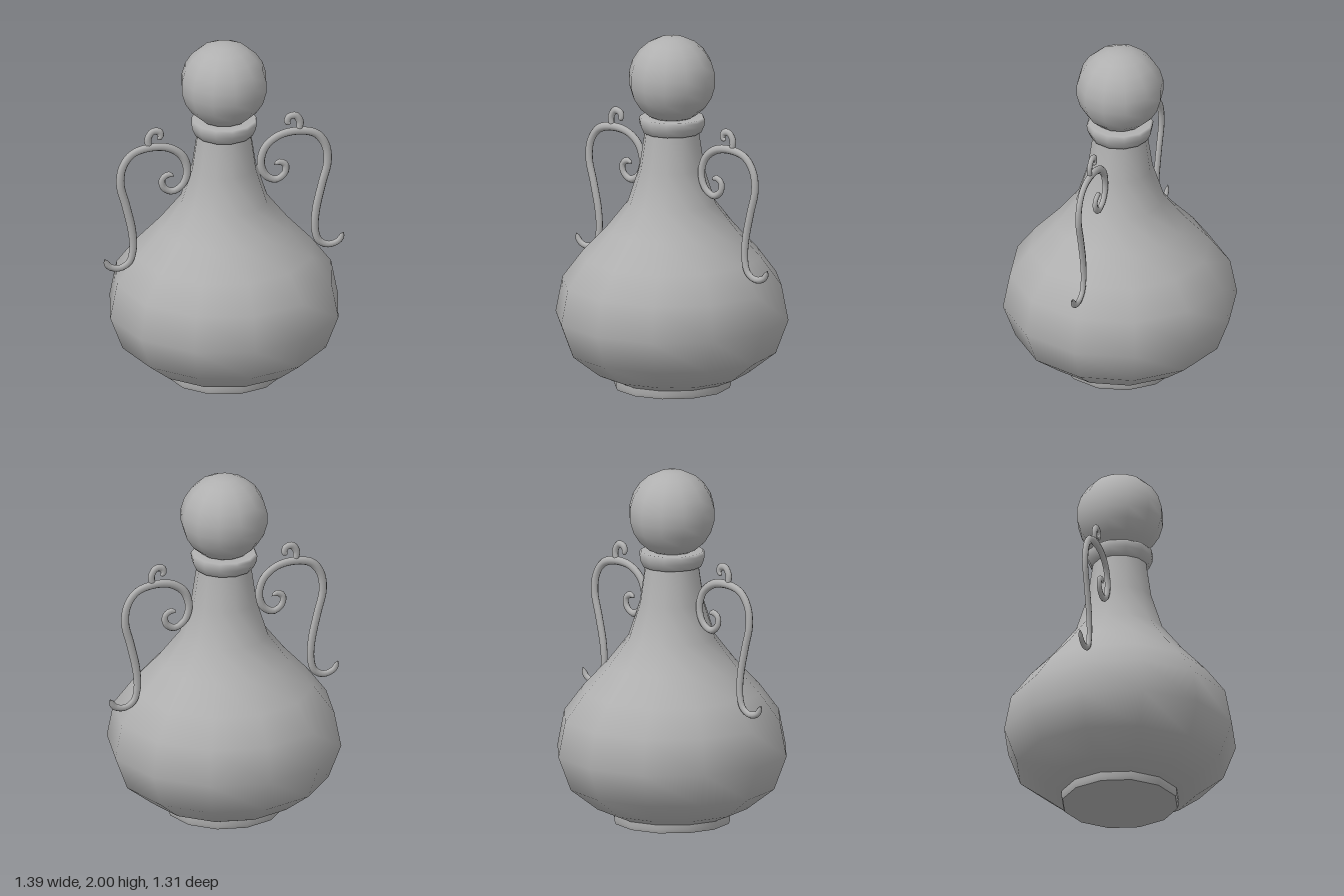
import * as THREE from 'three';

const grey = new THREE.MeshStandardMaterial({ color: 0xb0b0b0 });
grey.name = 'plain grey';

const SIDES = 12;

// Turned part from [radius, height] pairs, listed bottom to top
function turned(name, profile) {
  const points = profile.map(([r, y]) => new THREE.Vector2(r, y));
  const mesh = new THREE.Mesh(new THREE.LatheGeometry(points, SIDES), grey);
  mesh.name = name;
  return mesh;
}

// Flattened tube along a curve in the xy plane, with slim rounded ends
function scroll(name, path, radius, steps) {
  const curve = new THREE.CatmullRomCurve3(path.map(([x, y]) => new THREE.Vector3(x, y, 0)));
  const radial = 8;
  const geometry = new THREE.TubeGeometry(curve, steps, radius, radial);
  const pos = geometry.attributes.position;
  const v = new THREE.Vector3();
  for (let i = 0; i <= steps; i++) {
    const t = i / steps;
    const centre = curve.getPointAt(t);
    const end = Math.min(t, 1 - t);
    const size = Math.sqrt(Math.min(1, end * steps / 2)) * (0.75 + 0.25 * Math.min(1, end * 4));
    for (let j = 0; j <= radial; j++) {
      const k = i * (radial + 1) + j;
      v.fromBufferAttribute(pos, k).sub(centre).multiplyScalar(size);
      v.z *= 0.68;
      v.add(centre);
      pos.setXYZ(k, v.x, v.y, v.z);
    }
  }
  const mesh = new THREE.Mesh(geometry, grey);
  mesh.name = name;
  return mesh;
}

function createHandle(name) {
  const handle = new THREE.Group();
  handle.name = name;
  // S-shaped grip, from the outward tail up to the inner spiral
  handle.add(scroll('handleGrip', [
    [0.69, 0.765], [0.66, 0.715], [0.60, 0.70], [0.547, 0.73], [0.525, 0.80], [0.53, 0.915],
    [0.565, 1.075], [0.597, 1.205], [0.585, 1.31], [0.53, 1.385], [0.434, 1.413],
    [0.32, 1.40], [0.24, 1.34], [0.212, 1.245], [0.24, 1.165], [0.30, 1.133],
    [0.35, 1.165], [0.355, 1.215], [0.318, 1.237], [0.288, 1.222],
  ], 0.024, 96));
  // Small curl on top
  handle.add(scroll('handleCurl', [
    [0.43, 1.405], [0.438, 1.47], [0.41, 1.51], [0.373, 1.503], [0.366, 1.475], [0.385, 1.46],
  ], 0.021, 24));
  return handle;
}

export function createModel() {
  const model = new THREE.Group();
  model.name = 'decanter';

  // Foot: flat underside and short rim
  model.add(turned('footUnderside', [[0, 0], [0.325, 0]]));
  model.add(turned('footRim', [[0.325, 0], [0.332, 0.02], [0.332, 0.05]]));

  // Pear-shaped body running into the neck
  model.add(turned('body', [
    [0.325, 0.045], [0.43, 0.09], [0.585, 0.21], [0.656, 0.4], [0.617, 0.6], [0.505, 0.75],
    [0.365, 0.9], [0.248, 1.05], [0.183, 1.25], [0.152, 1.46],
  ]));

  // Rolled lip
  model.add(turned('lip', [
    [0.14, 1.45], [0.165, 1.455], [0.183, 1.495], [0.187, 1.525], [0.178, 1.54], [0.07, 1.54],
  ]));

  // Ball stopper with a short flared stem
  model.add(turned('stopperStem', [[0.085, 1.53], [0.085, 1.55], [0.105, 1.565], [0.10, 1.58]]));
  const ball = new THREE.Mesh(new THREE.SphereGeometry(0.245, SIDES, 11), grey);
  ball.name = 'stopperBall';
  ball.position.y = 1.755;
  model.add(ball);

  // Handles on both sides
  const left = createHandle('leftHandle');
  const right = createHandle('rightHandle');
  right.rotation.y = Math.PI;
  model.add(left, right);

  return model;
}
